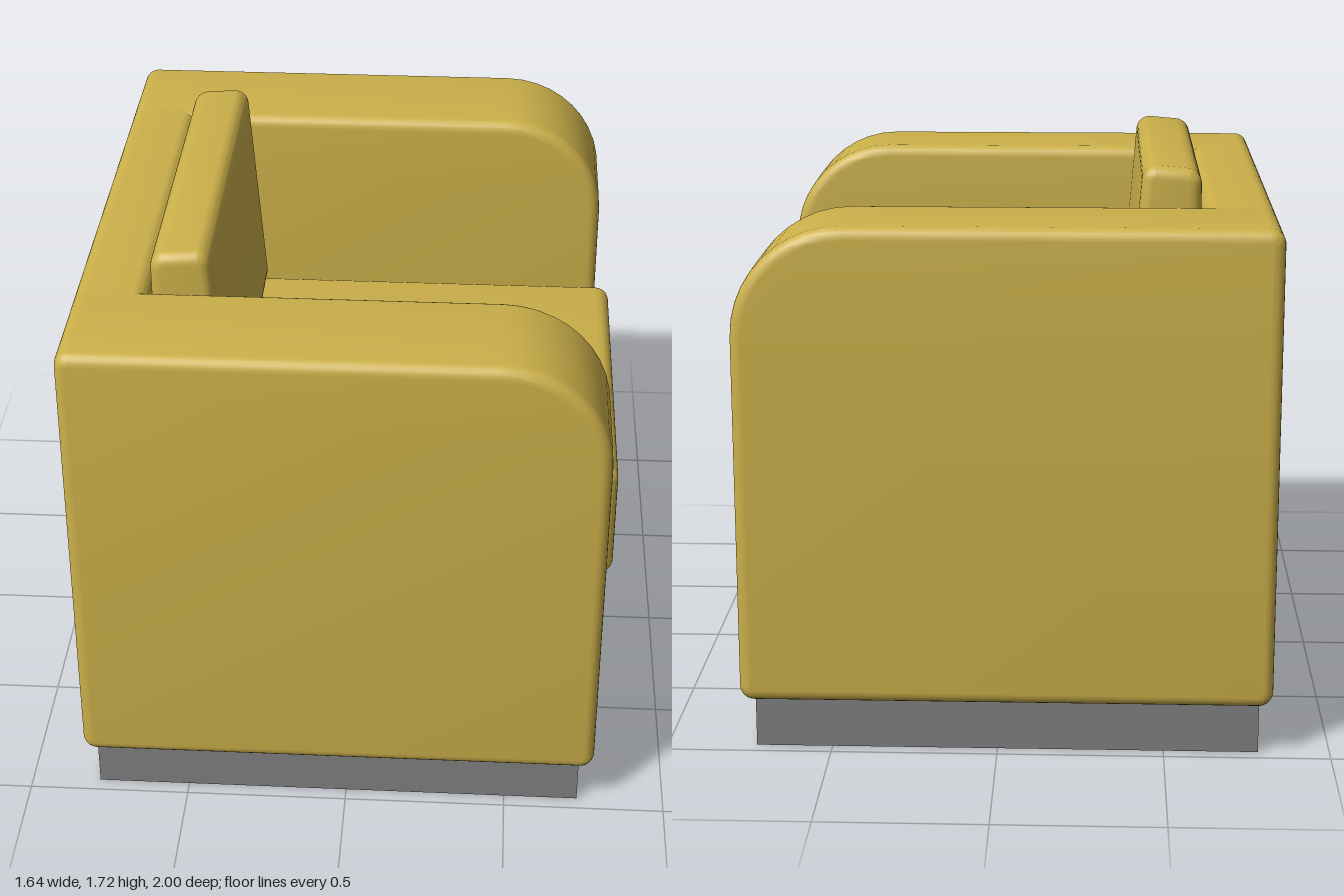
import * as THREE from 'three';
import { toCreasedNormals } from 'three/addons/utils/BufferGeometryUtils.js';

const fabric = new THREE.MeshStandardMaterial({ color: 0xccb04a });
fabric.name = 'mustard fabric';
const legGrey = new THREE.MeshStandardMaterial({ color: 0x808080 });
legGrey.name = 'grey legs';

// Closed shape from [x, y, radius] corners, each rounded by a circular arc
function roundedShape(corners) {
  const shape = new THREE.Shape();
  const n = corners.length;
  const pts = corners.map(([x, y]) => new THREE.Vector2(x, y));
  const towards = (p, q, d) => p.clone().add(q.clone().sub(p).setLength(d));
  corners.forEach(([, , r], i) => {
    const p = pts[i], prev = pts[(i + n - 1) % n], next = pts[(i + 1) % n];
    const a = towards(p, prev, r), b = towards(p, next, r);
    const c1 = towards(p, prev, r * 0.448), c2 = towards(p, next, r * 0.448);
    if (i === 0) shape.moveTo(a.x, a.y);
    else shape.lineTo(a.x, a.y);
    shape.bezierCurveTo(c1.x, c1.y, c2.x, c2.y, b.x, b.y);
  });
  shape.closePath();
  return shape;
}

// Upholstered block: side profile extruded from z0 to z1 with soft edges
function padded(name, corners, z0, z1, bevel) {
  const geo = new THREE.ExtrudeGeometry(roundedShape(corners), {
    depth: z1 - z0 - 2 * bevel,
    curveSegments: 10,
    bevelEnabled: bevel > 0,
    bevelThickness: bevel,
    bevelSize: bevel,
    bevelOffset: -bevel,
    bevelSegments: 5,
  });
  geo.translate(0, 0, z0 + bevel);
  const mesh = new THREE.Mesh(toCreasedNormals(geo, 0.6), fabric);
  mesh.name = name;
  return mesh;
}

export function createModel() {
  const chair = new THREE.Group();
  chair.name = 'armchair';
  const r = 0.045, bevel = 0.035;
  const back = -0.825, front = 0.775, bottom = 0.155, top = 1.6;

  // Side arms with a large rounded front top corner, and a leg runner under each
  const arm = [[back, bottom, r], [front, bottom, r], [front, top, 0.33], [back, top, r]];
  for (const side of [1, -1]) {
    const z0 = side > 0 ? 0.6 : -1;
    chair.add(padded(side > 0 ? 'armNear' : 'armFar', arm, z0, z0 + 0.4, bevel));

    const leg = new THREE.Mesh(new THREE.BoxGeometry(1.515, 0.16, 0.315), legGrey);
    leg.name = side > 0 ? 'legNear' : 'legFar';
    leg.position.set(-0.0275, 0.08, side * 0.7975);
    chair.add(leg);
  }

  // L-shaped base and backrest joining the arms
  chair.add(padded('baseAndBack', [
    [back, bottom, r], [front, bottom, r], [front, 0.6, 0.006],
    [-0.605, 0.6, 0.006], [-0.605, top, r], [back, top, r],
  ], -0.64, 0.64, 0));

  // Loose cushions
  chair.add(padded('seatCushion', [
    [-0.6, 0.603, r], [0.82, 0.603, r], [0.82, 1, r], [-0.6, 1, r],
  ], -0.59, 0.59, bevel));
  chair.add(padded('backCushion', [
    [-0.6, 1, r], [-0.365, 1, r], [-0.423, 1.72, r], [-0.6, 1.705, r],
  ], -0.59, 0.59, bevel));

  return chair;
}
